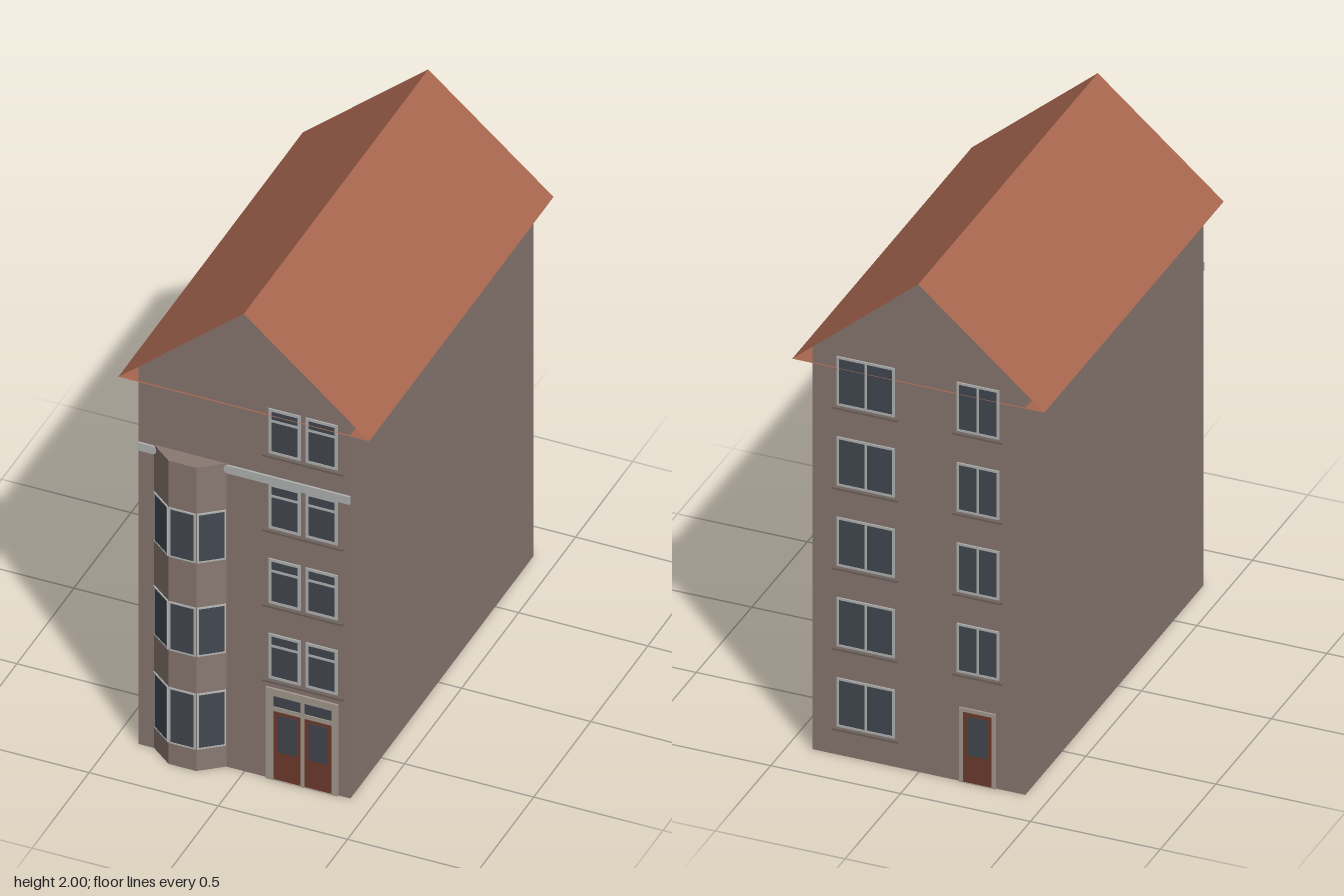
import * as THREE from 'three';

const mat = (color, side = THREE.FrontSide) => new THREE.MeshStandardMaterial({ color, side });
const wallMat = mat(0x8a7972, THREE.DoubleSide);
const roofMat = mat(0xa8664f, THREE.DoubleSide);
const glassMat = mat(0x434851);
const frameMat = mat(0xb4b5b5);
const sillMat = mat(0x6f635d);
const surroundMat = mat(0xa69c90);
const doorMat = mat(0x703c2e);

const HALF_W = 0.41, FRONT = 0.77, BACK = -0.835, EAVE = 1.648;
const ROOF_W = 0.485, ROOF_Y = 1.585, RIDGE = 2;

function add(parent, name, geometry, material) {
  const mesh = new THREE.Mesh(geometry, material);
  mesh.name = name;
  parent.add(mesh);
  return mesh;
}

function group(parent, name, x = 0, z = 0, angle = 0) {
  const g = new THREE.Group();
  g.name = name;
  g.position.set(x, 0, z);
  g.rotation.y = angle;
  parent.add(g);
  return g;
}

// Thin slab standing on a facade, given by its outline [x0, x1, y0, y1]
function slab(parent, name, [x0, x1, y0, y1], depth, material) {
  const mesh = add(parent, name, new THREE.BoxGeometry(x1 - x0, y1 - y0, depth), material);
  mesh.position.set((x0 + x1) / 2, (y0 + y1) / 2, depth / 2);
  return mesh;
}

// Frame with rectangular openings cut through it
function frame(parent, name, [x0, x1, y0, y1], openings, depth, material) {
  const path = (p, [a, b, c, d]) => p.moveTo(a, c).lineTo(b, c).lineTo(b, d).lineTo(a, d).closePath();
  const shape = path(new THREE.Shape(), [x0, x1, y0, y1]);
  for (const o of openings) shape.holes.push(path(new THREE.Path(), o));
  add(parent, name, new THREE.ExtrudeGeometry(shape, { depth, bevelEnabled: false }), material);
}

// Window of side-by-side panes, with an optional transom bar
function windowUnit(parent, [x0, x1, y0, y1], { panes = 1, bar = 0, t = 0.011 } = {}) {
  const w = group(parent, 'window');
  slab(w, 'glass', [x0 + t / 2, x1 - t / 2, y0 + t / 2, y1 - t / 2], 0.003, glassMat);
  const step = (x1 - x0 - t) / panes, holes = [];
  for (let i = 0; i < panes; i++) {
    const a = x0 + t + i * step, b = x0 + (i + 1) * step;
    if (bar) holes.push([a, b, y0 + t, bar - 0.005], [a, b, bar + 0.005, y1 - t]);
    else holes.push([a, b, y0 + t, y1 - t]);
  }
  frame(w, 'windowFrame', [x0, x1, y0, y1], holes, 0.005, frameMat);
}

// Surface from quads, each listed counter-clockwise as seen from outside
function quads(list) {
  const pos = list.flatMap(([a, b, c, d]) => [a, b, c, a, c, d].flat());
  const g = new THREE.BufferGeometry();
  g.setAttribute('position', new THREE.Float32BufferAttribute(pos, 3));
  g.computeVertexNormals();
  return g;
}

function addWalls(house) {
  const gable = new THREE.Shape([[-HALF_W, 0], [HALF_W, 0], [HALF_W, EAVE], [0, RIDGE - 0.001], [-HALF_W, EAVE]]
    .map(([x, y]) => new THREE.Vector2(x, y)));
  for (const [name, z, angle] of [['frontWall', FRONT, 0], ['backWall', BACK, Math.PI]]) {
    const wall = add(house, name, new THREE.ShapeGeometry(gable), wallMat);
    wall.position.z = z;
    wall.rotation.y = angle;
  }
  for (const s of [-1, 1]) {
    const side = add(house, s > 0 ? 'leftWall' : 'rightWall', new THREE.PlaneGeometry(FRONT - BACK, EAVE), wallMat);
    side.position.set(s * HALF_W, EAVE / 2, (FRONT + BACK) / 2);
    side.rotation.y = s * Math.PI / 2;
  }
}

function addRoof(house) {
  const f = 0.777, b = -0.841, w = ROOF_W, y = ROOF_Y;
  add(house, 'roof', quads([
    [[w, y, f], [w, y, b], [0, RIDGE, b], [0, RIDGE, f]],
    [[-w, y, b], [-w, y, f], [0, RIDGE, f], [0, RIDGE, b]],
    [[-w, y, b], [w, y, b], [w, y, f], [-w, y, f]],
  ]), roofMat);
}

// Three-sided bay with windows on each face
function addBay(house) {
  const bay = group(house, 'bay', -0.21, FRONT);
  const outer = 0.14, inner = 0.0535, d = 0.068, top = 1.323;
  const plan = [[-outer, 0], [-inner, d], [inner, d], [outer, 0]];
  const at = (i, y) => [plan[i][0], y, plan[i][1]];
  const faces = [0, 1, 2].map(i => [at(i, 0), at(i + 1, 0), at(i + 1, top), at(i, top)]);
  faces.push([at(0, top), at(1, top), at(2, top), at(3, top)]);
  add(bay, 'bayWalls', quads(faces), wallMat);
  for (let i = 0; i < 3; i++) {
    const [ax, az] = plan[i], [bx, bz] = plan[i + 1];
    const half = Math.hypot(bx - ax, bz - az) / 2 - 0.002;
    const face = group(bay, 'bayFace', (ax + bx) / 2, (az + bz) / 2, Math.atan2(az - bz, bx - ax));
    for (const [y0, y1] of [[0.095, 0.337], [0.5, 0.712], [0.908, 1.122]])
      windowUnit(face, [-half, half, y0, y1], { t: 0.006 });
  }
}

function addEntrance(front) {
  const door = group(front, 'entrance');
  const leaves = [[0.114, 0.22], [0.234, 0.34]];
  const openings = leaves.flatMap(([a, b]) => [[a, b, 0.002, 0.302], [a, b, 0.32, 0.367]]);
  frame(door, 'doorSurround', [0.085, 0.363, 0, 0.398], openings, 0.008, surroundMat);
  for (const [a, b] of leaves) {
    slab(door, 'doorLeaf', [a, b, 0, 0.302], 0.004, doorMat);
    slab(door, 'doorGlass', [a + 0.016, b - 0.016, 0.125, 0.285], 0.006, glassMat);
    slab(door, 'transomGlass', [a, b, 0.32, 0.367], 0.004, glassMat);
  }
}

// Cornice strip, rounded at the end next to the bay
function addCornice(front, xBay, xEnd) {
  const s = Math.sign(xEnd - xBay), r = 0.017, y = 1.303;
  const c = xBay + s * r;
  const shape = new THREE.Shape();
  shape.moveTo(xEnd, y - r).lineTo(xEnd, y + r).lineTo(c, y + r);
  shape.absarc(c, y, r, Math.PI / 2, -Math.PI / 2, s < 0);
  shape.closePath();
  add(front, 'cornice', new THREE.ExtrudeGeometry(shape, { depth: 0.008, bevelEnabled: false }), frameMat);
}

export function createModel() {
  const house = new THREE.Group();
  house.name = 'townHouse';
  addWalls(house);
  addRoof(house);
  addBay(house);

  // Street side
  const front = group(house, 'frontFacade', 0, FRONT);
  addEntrance(front);
  addCornice(front, -0.338, -HALF_W);
  addCornice(front, -0.078, HALF_W);
  for (let i = 0; i < 4; i++) {
    const y = 0.438 + i * 0.327;
    for (const x of [0.094, 0.238]) windowUnit(front, [x, x + 0.124, y, y + 0.195], { bar: y + 0.143 });
    slab(front, 'windowSill', [0.073, 0.385, y - 0.014, y - 0.006], 0.013, sillMat);
  }

  // Yard side, mirrored in x by the half turn
  const back = group(house, 'backFacade', 0, BACK, Math.PI);
  for (let i = 0; i < 5; i++) {
    const y = 0.117 + i * 0.329;
    const spans = [[-0.315, -0.092]];
    if (i > 0) spans.push([0.147, 0.31]);
    for (const [a, b] of spans) {
      windowUnit(back, [a, b, y, y + 0.2], { panes: 2, t: 0.009 });
      slab(back, 'windowSill', [a - 0.014, b + 0.014, y - 0.013, y - 0.005], 0.013, sillMat);
    }
  }
  frame(back, 'backDoorFrame', [0.157, 0.297, 0, 0.305], [[0.172, 0.282, 0.002, 0.29]], 0.007, surroundMat);
  slab(back, 'backDoor', [0.172, 0.282, 0, 0.29], 0.004, doorMat);
  slab(back, 'backDoorGlass', [0.188, 0.266, 0.115, 0.272], 0.006, glassMat);
  return house;
}
